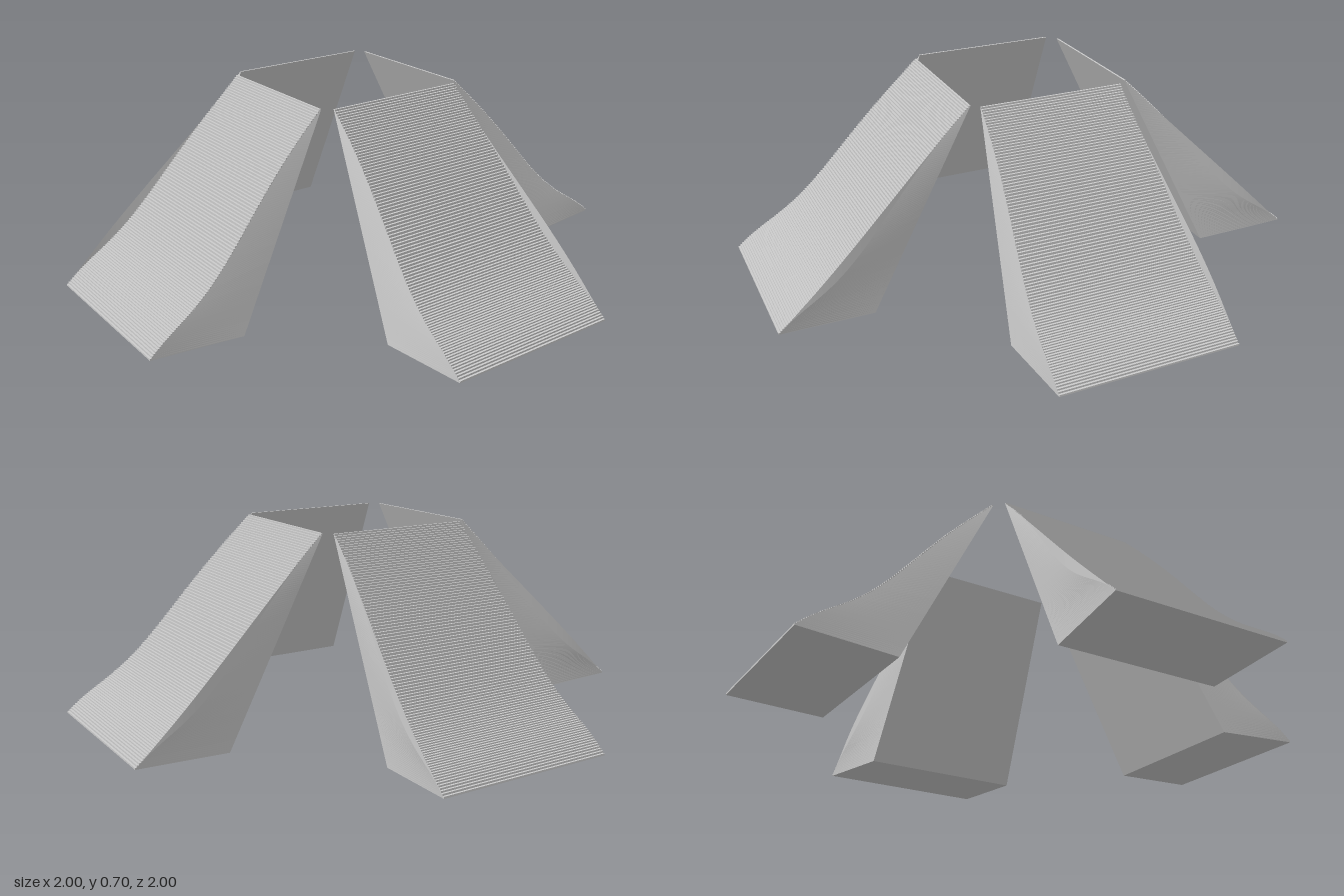
import * as THREE from 'three';

const STEPS = 100;
const { lerp, smoothstep } = THREE.MathUtils;

// Wedge facing +z (or -z when mirrored): a knife edge on top that opens into
// a broad foot. The outer face is a sagging run of fine steps, flared sideways.
function wedgeGeometry({ apex, outer, inner, shift = 0, mirrored = false }) {
  // Cross-section: outer left, outer right, inner right, inner left, left rim
  const ring = (s) => {
    const yo = lerp(apex[1], outer[1], s), zo = lerp(apex[0], outer[0], s);
    const yi = lerp(apex[1], inner[1], s), zi = lerp(apex[0], inner[0], s);
    const sag = 0.05 * Math.sin(Math.PI * s ** 1.5) ** 2;
    const left = -0.27 - 0.06 * smoothstep(s, 0, 0.85);
    return [
      [left, yo - sag, zo],
      [0.26 + 0.057 * smoothstep(s, 0, 1), yo - sag, zo],
      [lerp(0.26, 0.32, s), yi, zi],
      [lerp(-0.27, -0.295, s), yi, zi],
      [left, yo, zo],
    ];
  };

  const positions = [];
  const side = mirrored ? -1 : 1;
  const triangle = (a, b, c) => {
    for (const p of mirrored ? [a, c, b] : [a, b, c]) positions.push(p[0] + shift, p[1], side * p[2]);
  };
  const quad = (a, b, c, d) => {
    triangle(a, b, c);
    triangle(a, c, d);
  };

  for (let i = 0; i < STEPS; i++) {
    const p = ring(i / STEPS), q = ring((i + 1) / STEPS);

    // Level tread, upright riser and the small step ends
    const left = [q[0][0], p[0][1], q[0][2]];
    const right = [q[1][0], p[1][1], q[1][2]];
    quad(p[0], left, right, p[1]);
    quad(left, q[0], q[1], right);
    triangle(p[0], q[0], left);
    triangle(p[1], right, q[1]);

    // Right side, inner face and left side
    for (let j = 1; j < 4; j++) {
      const k = (j + 1) % 4;
      triangle(p[j], q[j], q[k]);
      if (i > 0 || j === 2) triangle(p[j], q[k], p[k]);
    }

    // Thin straight rim above the sag on the left, seen from both sides
    quad(p[4], p[0], q[0], q[4]);
    quad(p[4], q[4], q[0], p[0]);
  }

  // Sole of the foot
  const [ol, or, ir, il] = ring(1);
  quad(ol, il, ir, or);

  const geometry = new THREE.BufferGeometry();
  geometry.setAttribute('position', new THREE.Float32BufferAttribute(positions, 3));
  geometry.computeVertexNormals();
  return geometry;
}

export function createModel() {
  const model = new THREE.Group();
  model.name = 'fourWedges';
  const material = new THREE.MeshStandardMaterial({ color: 0xcccccc, flatShading: true });

  // Profiles as [distance from centre, height]
  const tall = { apex: [0.3, 0.7], outer: [1, 0.025], inner: [0.66, 0] };
  const raised = { apex: [0.285, 0.7], outer: [1, 0.035], inner: [0.66, 0.01], mirrored: true };

  const parts = [
    ['frontWedge', tall, 0, 0],
    ['backWedge', raised, 0, 0],
    ['rightWedge', tall, 0.008, -Math.PI / 2],
    ['leftWedge', raised, 0.008, -Math.PI / 2],
  ];
  for (const [name, profile, shift, turn] of parts) {
    const wedge = new THREE.Mesh(wedgeGeometry({ ...profile, shift }), material);
    wedge.name = name;
    wedge.rotation.y = turn;
    model.add(wedge);
  }
  return model;
}
